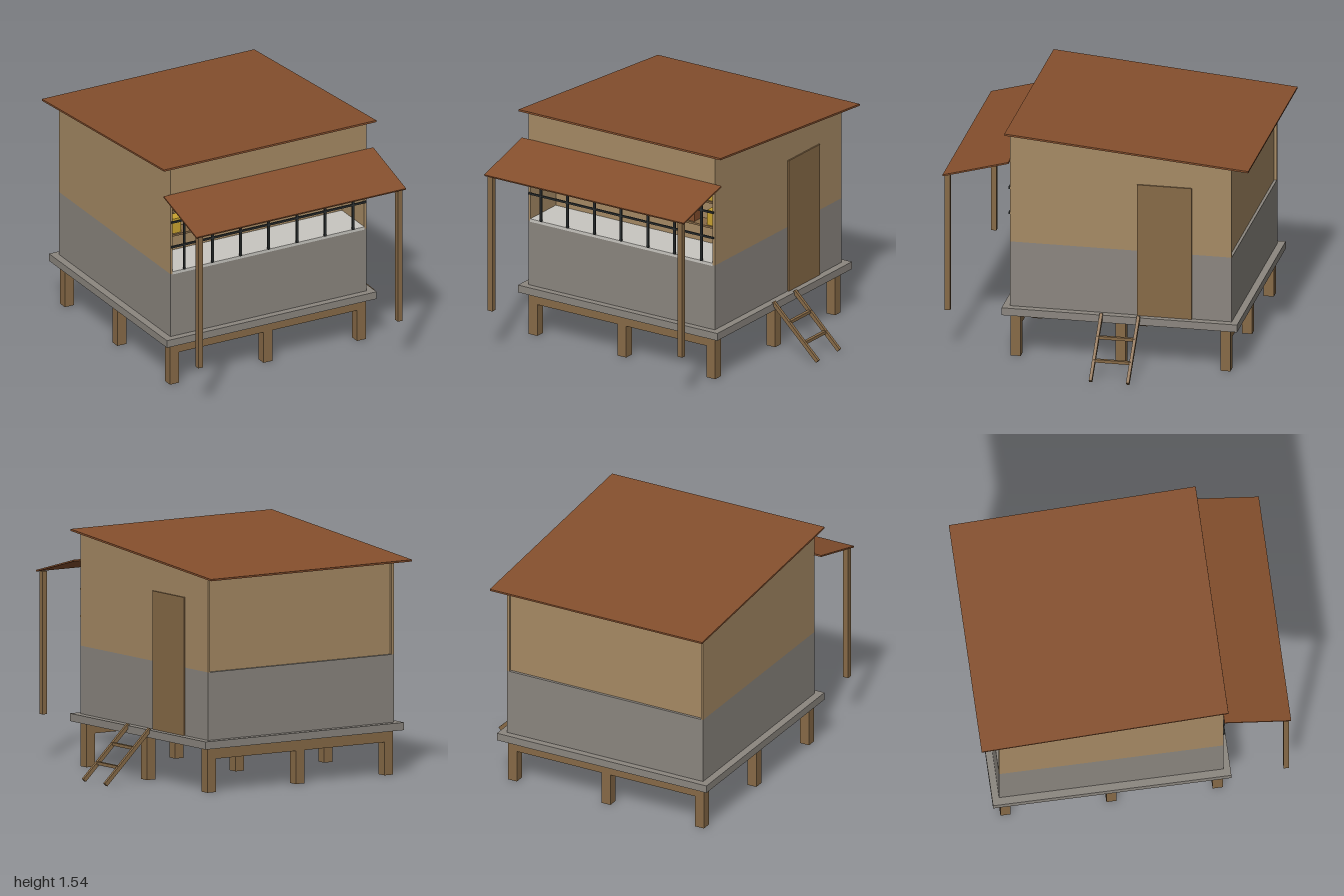
import * as THREE from 'three';

const paint = (name, color) => Object.assign(new THREE.MeshStandardMaterial({ color }), { name });

export function createModel() {
  const model = new THREE.Group();
  model.name = 'stiltKiosk';

  const tan = paint('tanPlank', 0xa68a64);
  const timber = paint('darkTimber', 0x876a47);
  const grey = paint('greyPlaster', 0x8b867f);
  const rust = paint('rustRoof', 0x854f2d);
  const pale = paint('paleCounter', 0xc8c6c0);
  const iron = paint('darkIron', 0x2b2f30);
  const yellow = paint('yellowGoods', 0xc9a22f);

  const add = (name, geometry, material) => {
    const mesh = new THREE.Mesh(geometry, material);
    mesh.name = name;
    model.add(mesh);
    return mesh;
  };
  // Box given by its limits on each axis
  const box = (name, material, [x0, x1], [y0, y1], [z0, z1]) => {
    const mesh = add(name, new THREE.BoxGeometry(x1 - x0, y1 - y0, z1 - z0), material);
    mesh.position.set((x0 + x1) / 2, (y0 + y1) / 2, (z0 + z1) / 2);
    return mesh;
  };

  const L = -0.89, R = 0.55, B = -0.88, F = 0.57, T = 0.016, FLOOR = 0.34, SPLIT = 0.78;
  const CX = (L + R) / 2;
  const roofUnder = z => 1.516 + (z - 0.595) * 0.0846;

  // Stilts, beams and floor
  for (const z of [0.533, -0.153, -0.838]) {
    for (const x of [-0.857, CX, 0.517]) {
      const top = z === -0.153 ? 0.29 : 0.215;
      box('stilt', timber, [x - 0.033, x + 0.033], [0, top], [z - 0.033, z + 0.033]);
    }
  }
  for (const z of [0.533, -0.838]) {
    box('floorBeam', timber, [L, R], [0.215, 0.29], [z - 0.033, z + 0.033]);
  }
  box('floorSlab', grey, [-0.94, 0.6], [0.29, FLOOR], [-0.925, 0.615]);

  // Side walls: plaster below, planks with a sloping top above
  const gable = new THREE.Shape([
    new THREE.Vector2(B, SPLIT), new THREE.Vector2(F, SPLIT),
    new THREE.Vector2(F, roofUnder(F)), new THREE.Vector2(B, roofUnder(B)),
  ]);
  for (const x of [L, R - T]) {
    box('lowerSideWall', grey, [x, x + T], [FLOOR, SPLIT], [B, F]);
    const geometry = new THREE.ExtrudeGeometry(gable, { depth: T, bevelEnabled: false });
    geometry.rotateY(-Math.PI / 2);
    add('upperSideWall', geometry, tan).position.x = x + T;
  }

  // Back and front walls
  const inner = [L + T, R - T];
  box('lowerBackWall', grey, inner, [FLOOR, SPLIT], [B, B + 0.035]);
  box('upperBackWall', tan, inner, [SPLIT, roofUnder(B)], [B + 0.018, B + 0.035]);
  box('lowerFrontWall', grey, inner, [FLOOR, SPLIT], [F - T, F]);
  box('upperFrontWall', tan, inner, [1.28, roofUnder(F - T)], [F - T, F]);

  // Counter and display shelves behind the opening
  box('counter', pale, inner, [0.775, 0.795], [0.28, F + 0.003]);
  box('displayBack', tan, inner, [0.795, 1.45], [0.265, 0.28]);
  const goods = [yellow, rust, pale, yellow, rust, yellow];
  for (const y of [0.945, 1.115]) {
    box('shelf', timber, [-0.87, 0.53], [y, y + 0.013], [0.28, 0.39]);
    goods.forEach((material, i) => {
      const x = -0.77 + i * 0.24;
      box('goodsBox', material, [x - 0.07, x + 0.07], [y + 0.013, y + 0.115], [0.3, 0.375]);
    });
  }

  // Window grille
  for (let i = 0; i < 7; i++) {
    const x = -0.79 + i * 0.2067;
    box('grilleBar', iron, [x - 0.007, x + 0.007], [0.795, 1.28], [F - 0.002, F + 0.011]);
  }
  for (const y of [0.97, 1.143]) {
    box('grilleRail', iron, [-0.885, 0.545], [y - 0.006, y + 0.006], [F, F + 0.012]);
  }

  // Door
  box('door', timber, [R - 0.005, R + 0.01], [FLOOR, 1.235], [-0.62, -0.262]);

  // Sloping roofs, from the back edge to the front edge along their middle
  const slope = (name, width, thick, [z0, y0], [z1, y1]) => {
    const geometry = new THREE.BoxGeometry(width, thick, Math.hypot(z1 - z0, y1 - y0));
    const mesh = add(name, geometry, rust);
    mesh.position.set(CX, (y0 + y1) / 2, (z0 + z1) / 2);
    mesh.rotation.x = -Math.atan2(y1 - y0, z1 - z0);
  };
  slope('mainRoof', 1.56, 0.012, [-1, 1.395], [0.595, 1.53]);
  slope('awning', 1.54, 0.01, [F, 1.334], [1, 1.216]);

  // Awning posts
  for (const x of [-0.903, 0.563]) {
    box('awningPost', timber, [x - 0.018, x + 0.018], [0.29, 1.215], [0.955, 0.99]);
  }

  // Ladder to the door side
  const from = [0.592, 0.345], to = [0.937, 0.013];
  const dx = to[0] - from[0], dy = to[1] - from[1];
  for (const z of [-0.037, -0.28]) {
    const rail = add('ladderRail', new THREE.BoxGeometry(Math.hypot(dx, dy), 0.026, 0.02), timber);
    rail.position.set(from[0] + dx / 2, from[1] + dy / 2, z);
    rail.rotation.z = Math.atan2(dy, dx);
  }
  for (const t of [0.345, 0.69]) {
    const x = from[0] + dx * t, y = from[1] + dy * t;
    box('ladderRung', timber, [x - 0.011, x + 0.011], [y - 0.01, y + 0.01], [-0.28, -0.037]);
  }

  return model;
}
